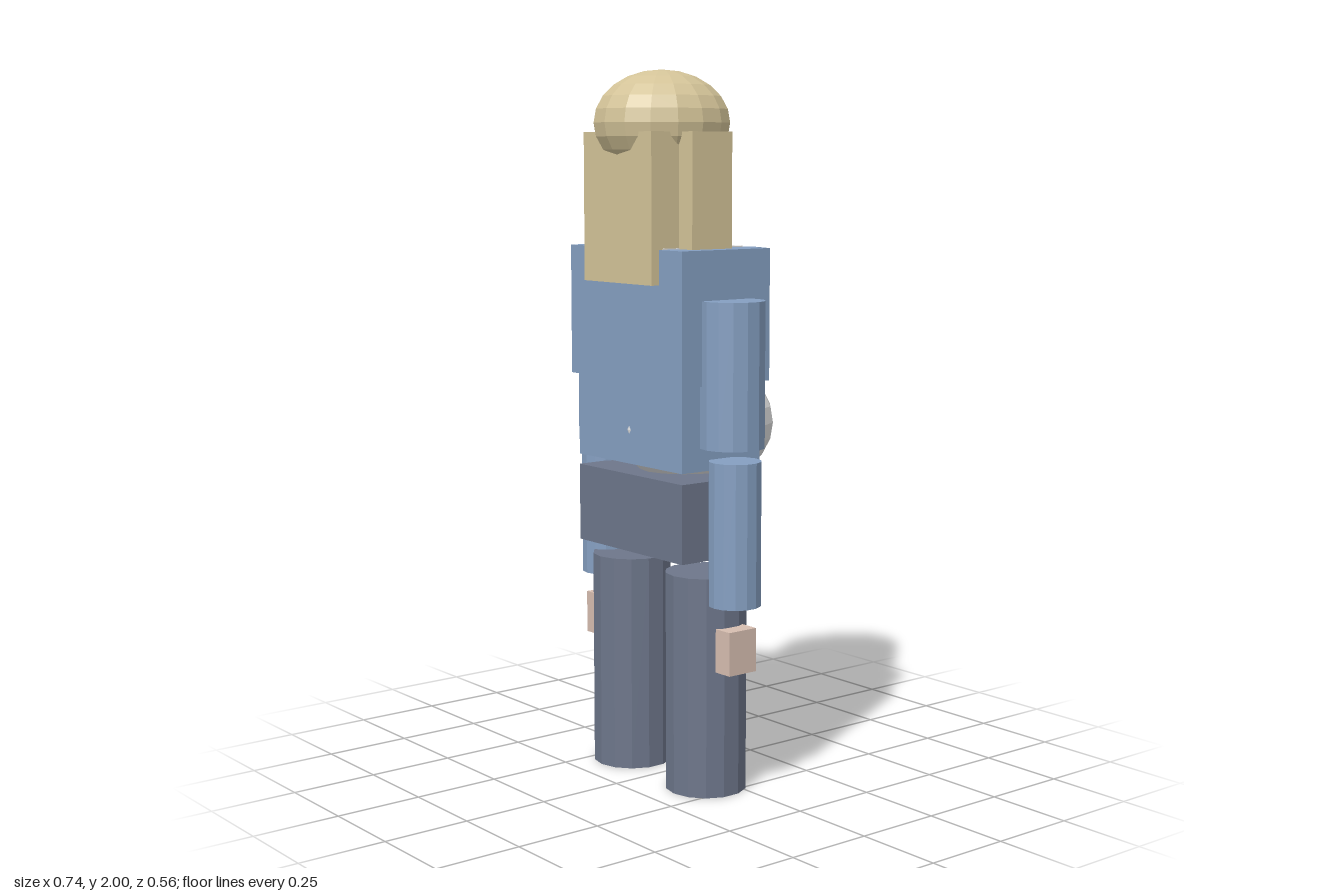
import * as THREE from 'three';

export function createModel() {
  const model = new THREE.Group();
  model.name = 'figure';

  const material = (name, color) => {
    const m = new THREE.MeshStandardMaterial({ color, flatShading: true });
    m.name = name;
    return m;
  };
  const blue = material('jacketBlue', 0x859fc1);
  const slate = material('trouserSlate', 0x6d768a);
  const skin = material('skin', 0xd6bdb0);
  const blond = material('hairBlond', 0xd3c398);
  const white = material('shirtWhite', 0xdedede);

  const add = (name, geometry, mat, x, y, z) => {
    const mesh = new THREE.Mesh(geometry, mat);
    mesh.name = name;
    mesh.position.set(x, y, z);
    model.add(mesh);
    return mesh;
  };
  // Box given by its extents on each axis
  const box = (name, mat, [x0, x1], [y0, y1], [z0, z1]) =>
    add(name, new THREE.BoxGeometry(x1 - x0, y1 - y0, z1 - z0), mat,
      (x0 + x1) / 2, (y0 + y1) / 2, (z0 + z1) / 2);
  // Upright 14-sided cylinder
  const post = (name, mat, r, [y0, y1], x, z) =>
    add(name, new THREE.CylinderGeometry(r, r, y1 - y0, 14), mat, x, (y0 + y1) / 2, z);
  // Low-poly ellipsoid
  const ball = (name, mat, [rx, ry, rz], x, y, z) =>
    add(name, new THREE.SphereGeometry(1, 16, 12), mat, x, y, z).scale.set(rx, ry, rz);

  // Body
  box('chest', blue, [-0.253, 0.253], [1.15, 1.515], [-0.095, 0.213]);
  box('waist', blue, [-0.236, 0.236], [0.915, 1.16], [-0.075, 0.2]);
  box('hips', slate, [-0.236, 0.236], [0.665, 0.885], [-0.075, 0.2]);
  box('shirtCollar', white, [-0.155, 0.155], [1.45, 1.518], [-0.08, 0.2]);
  ball('belly', white, [0.195, 0.18, 0.242], 0, 1.01, -0.04);

  // Head and hair
  post('neck', skin, 0.07, [1.5, 1.65], 0, 0.065);
  ball('head', skin, [0.14, 0.157, 0.157], 0, 1.74, 0.065);
  box('nose', skin, [-0.015, 0.015], [1.725, 1.775], [-0.12, -0.07]);
  ball('hairCap', blond, [0.182, 0.145, 0.196], 0, 1.855, 0.083);
  box('backHair', blond, [-0.153, 0.153], [1.42, 1.83], [0.12, 0.238]);

  // Paired parts
  for (const [side, s] of [['left', 1], ['right', -1]]) {
    const span = (a, b) => (s > 0 ? [a, b] : [-b, -a]);
    box(side + 'Hair', blond, span(0.15, 0.21), [1.5, 1.83], [0.005, 0.144]);
    box(side + 'Lapel', blue, span(0.14, 0.2), [1.15, 1.515], [-0.11, -0.08]);
    post(side + 'UpperArm', blue, 0.09, [0.98, 1.38], s * 0.28, 0.061);
    post(side + 'Forearm', blue, 0.073, [0.545, 0.945], s * 0.294, 0.062);
    box(side + 'Hand', skin, span(0.27, 0.33), [0.358, 0.48], [0.015, 0.11]);
    post(side + 'Leg', slate, 0.115, [0, 0.62], s * 0.17, 0.062);
  }
  return model;
}
